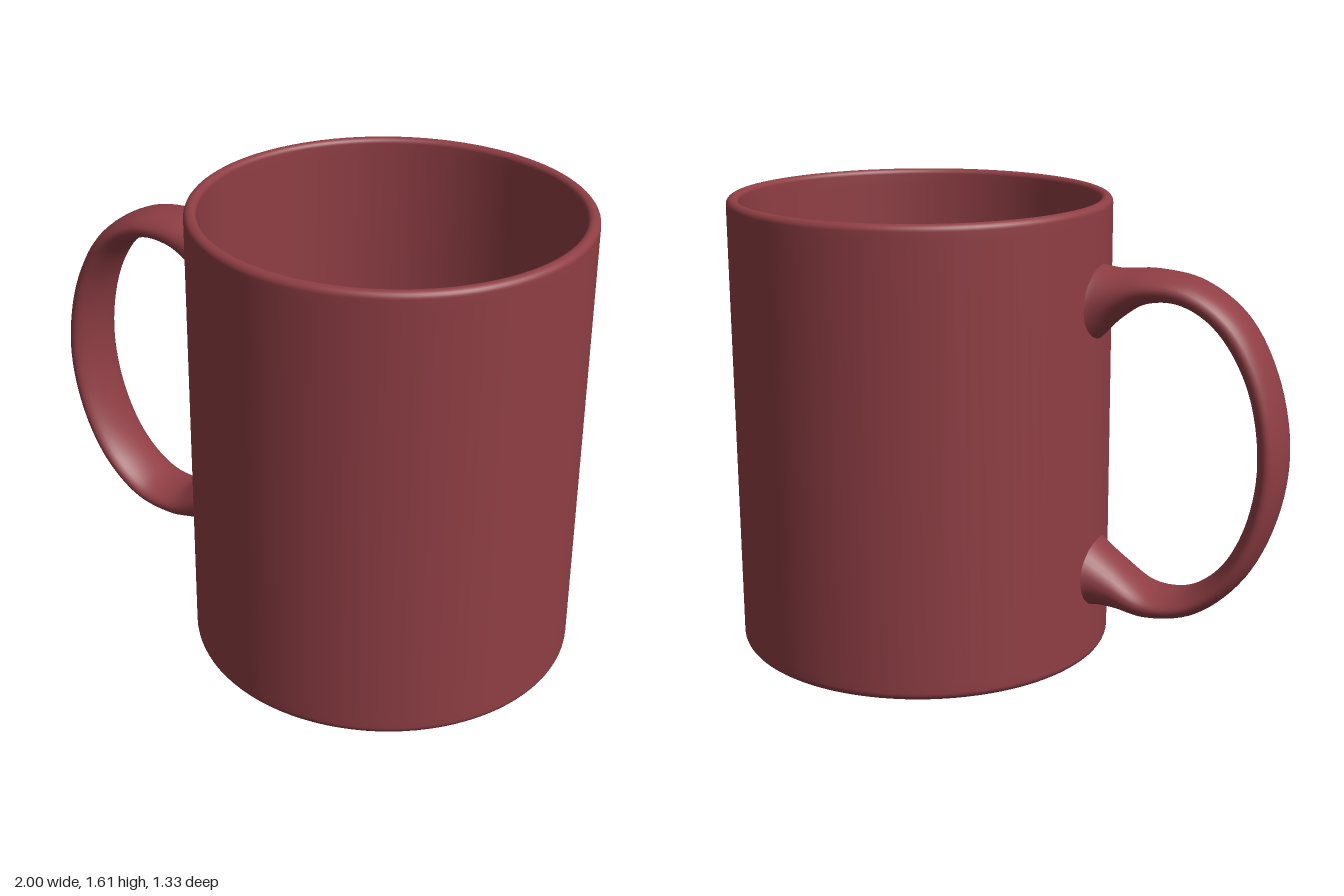
import * as THREE from 'three';

const CX = 0.33; // axis of the cup

const glaze = new THREE.MeshStandardMaterial({ color: 0x8f3e44 });
glaze.name = 'red glaze';
const clay = new THREE.MeshStandardMaterial({ color: 0xb9b2a5 });
clay.name = 'bare clay';

// Quarter-round corner of a profile, from angle a0 to a1
function arc(cx, cy, r, a0, a1, n = 6) {
  const pts = [];
  for (let i = 0; i <= n; i++) {
    const a = a0 + ((a1 - a0) * i) / n;
    pts.push([cx + r * Math.cos(a), cy + r * Math.sin(a)]);
  }
  return pts;
}

function lathe(name, profile, material) {
  const pts = profile.map(([x, y]) => new THREE.Vector2(x, y));
  const mesh = new THREE.Mesh(new THREE.LatheGeometry(pts, 96), material);
  mesh.name = name;
  mesh.position.x = CX;
  return mesh;
}

// Flattened oval swept between the outer and inner outlines of the handle
function handleGeometry() {
  const pairs = [ // outer x, y, inner x, y, half width
    [-0.3, 1.415, -0.3, 1.12, 0.15],
    [-0.34, 1.408, -0.34, 1.16, 0.134],
    [-0.4, 1.4, -0.41, 1.23, 0.122],
    [-0.52, 1.407, -0.5, 1.288, 0.116],
    [-0.68, 1.38, -0.62, 1.298, 0.115],
    [-0.84, 1.27, -0.74, 1.235, 0.115],
    [-0.95, 1.07, -0.855, 1.06, 0.115],
    [-1.0, 0.8, -0.905, 0.8, 0.115],
    [-0.96, 0.55, -0.87, 0.56, 0.115],
    [-0.86, 0.35, -0.775, 0.38, 0.115],
    [-0.71, 0.22, -0.65, 0.29, 0.115],
    [-0.54, 0.182, -0.53, 0.29, 0.116],
    [-0.41, 0.197, -0.42, 0.365, 0.122],
    [-0.34, 0.195, -0.34, 0.43, 0.134],
    [-0.3, 0.18, -0.3, 0.47, 0.15],
  ];
  const outer = new THREE.CatmullRomCurve3(pairs.map((p) => new THREE.Vector3(p[0], p[1], p[4])));
  const inner = new THREE.CatmullRomCurve3(pairs.map((p) => new THREE.Vector3(p[2], p[3], p[4])));
  const rows = 96, sides = 32, pos = [], index = [];
  for (let i = 0; i <= rows; i++) {
    const o = outer.getPoint(i / rows), n = inner.getPoint(i / rows);
    for (let j = 0; j < sides; j++) {
      const a = (j / sides) * Math.PI * 2, k = 0.5 + 0.5 * Math.cos(a);
      pos.push(n.x + (o.x - n.x) * k, n.y + (o.y - n.y) * k, 0.01 + o.z * Math.sin(a));
      if (i < rows) {
        const b = i * sides + j, c = i * sides + ((j + 1) % sides);
        index.push(b, b + sides, c, c, b + sides, c + sides);
      }
    }
  }
  const g = new THREE.BufferGeometry();
  g.setAttribute('position', new THREE.Float32BufferAttribute(pos, 3));
  g.setIndex(index);
  g.computeVertexNormals();
  return g;
}

export function createModel() {
  const model = new THREE.Group();
  model.name = 'mug';
  const P = Math.PI;

  // Outer wall, rounded rim, inner wall and floor in one profile
  model.add(lathe('cup', [
    ...arc(0.637, 0.03, 0.03, -P / 2, 0),
    [0.667, 0.06], [0.667, 1.56],
    ...arc(0.645, 1.588, 0.022, 0, P / 2),
    ...arc(0.643, 1.592, 0.018, P / 2, P),
    [0.625, 1.56], [0.625, 0.14],
    ...arc(0.575, 0.12, 0.05, 0, -P / 2),
    [0.55, 0.07], [0, 0.07],
  ], glaze));

  // Unglazed foot ring and the recessed underside
  model.add(lathe('footRing', [[0.605, 0], [0.637, 0], [0.65, 0.002]], clay));
  model.add(lathe('underside', [
    [0, 0.025], [0.57, 0.025], [0.585, 0.023], [0.598, 0.014], [0.605, 0],
  ], glaze));

  const handle = new THREE.Mesh(handleGeometry(), glaze);
  handle.name = 'handle';
  model.add(handle);
  return model;
}
